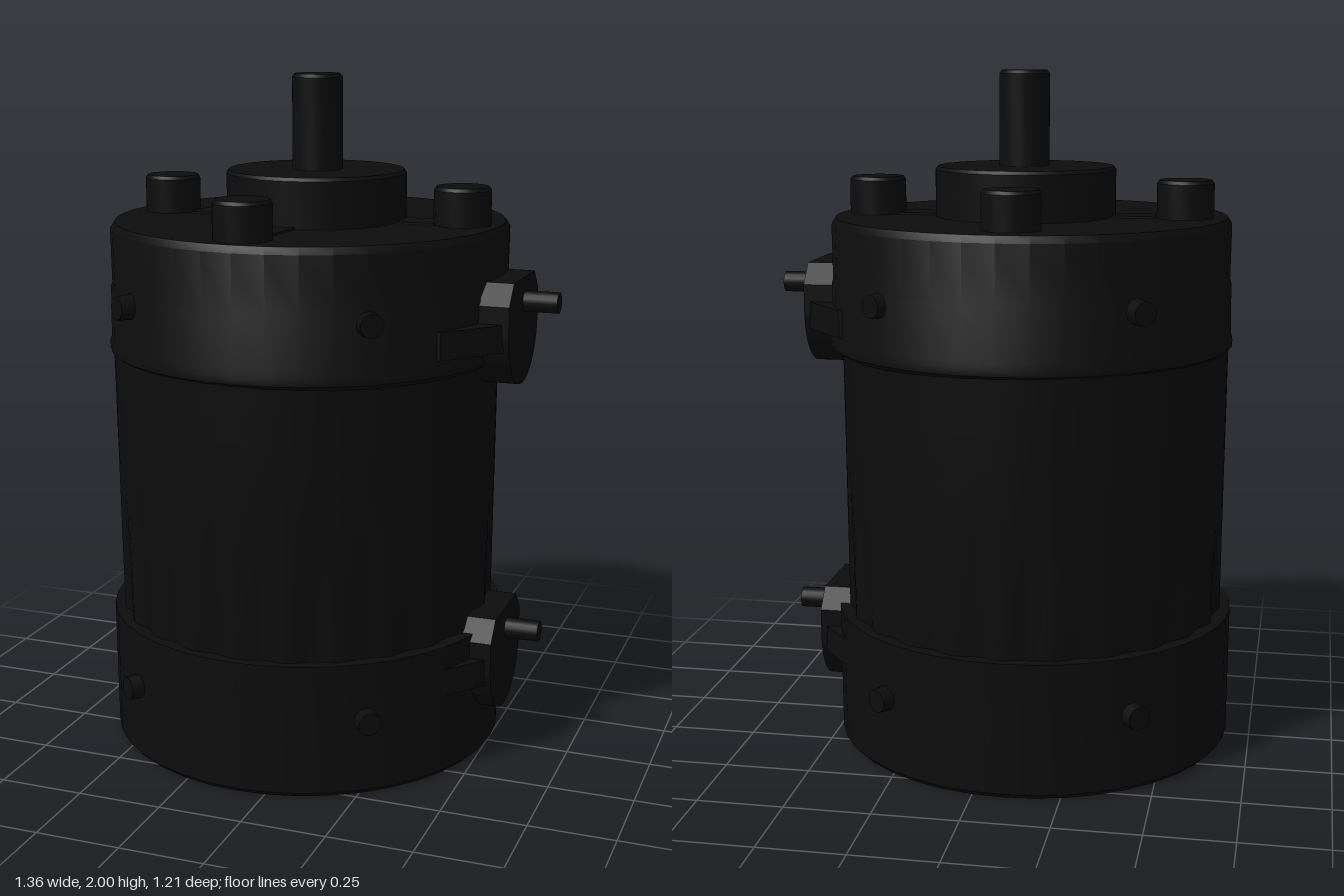
import * as THREE from 'three';
import { toCreasedNormals } from 'three/addons/utils/BufferGeometryUtils.js';

export function createModel() {
  const group = new THREE.Group();
  const black = new THREE.MeshStandardMaterial({ color: 0x0d0d0d });
  black.name = 'black metal';

  const add = (name, geo, x = 0, y = 0, z = 0) => {
    const mesh = new THREE.Mesh(geo, black);
    mesh.name = name;
    mesh.position.set(x, y, z);
    group.add(mesh);
    return mesh;
  };
  const lathe = (profile, segments = 40) => toCreasedNormals(
    new THREE.LatheGeometry(profile.map(([r, y]) => new THREE.Vector2(r, y)), segments), 0.6);

  // Lower end housing
  add('baseHousing', lathe([[0, 0], [0.58, 0], [0.594, 0.015], [0.597, 0.4], [0, 0.4]]), -0.085);

  // Barrel: smooth at the top, shallow flutes growing deeper toward the base
  const barrel = new THREE.CylinderGeometry(0.572, 0.572, 0.82, 120, 10, true);
  const p = barrel.attributes.position;
  for (let i = 0; i < p.count; i++) {
    const t = (0.41 - p.getY(i)) / 0.82;
    const a = Math.atan2(p.getZ(i), p.getX(i));
    const flute = Math.max(0, t - 0.35) * 0.022 * (1 - Math.cos(a * 24));
    const k = 1 - flute;
    p.setX(i, p.getX(i) * k * (1 - 0.01 * t));
    p.setZ(i, p.getZ(i) * k * (1.04 - 0.042 * t));
  }
  barrel.computeVertexNormals();
  add('barrel', barrel, -0.085, 0.79);

  // Upper end housing with a flared lower lip and a shallow band
  const cap = add('topHousing', lathe([
    [0, 1.19], [0.575, 1.19], [0.596, 1.205], [0.597, 1.225], [0.592, 1.24],
    [0.59, 1.39], [0.586, 1.4], [0.588, 1.56], [0.575, 1.58], [0, 1.58]]), -0.072);
  cap.scale.z = 1.017;

  // Hub and output shaft
  add('hub', lathe([[0, 1.56], [0.265, 1.56], [0.265, 1.715], [0.258, 1.725], [0, 1.725]]), -0.055, 0, -0.005);
  add('shaft', lathe([[0, 1.7], [0.074, 1.7], [0.074, 1.99], [0.066, 2], [0, 2]], 24), -0.05);

  // Mounting bolts and the low webs that join them to the hub
  for (const [x, z] of [[-0.525, -0.015], [0.39, -0.01], [-0.088, -0.44], [-0.088, 0.478]]) {
    add('topBolt', lathe([[0, 1.55], [0.083, 1.55], [0.083, 1.68], [0.076, 1.69], [0, 1.69]], 20), x, 0, z);
    const web = add('boltWeb', new THREE.BoxGeometry(0.3, 0.02, 0.1),
      (x - 0.055) / 2, 1.576, z / 2);
    web.rotation.y = -Math.atan2(z, x + 0.055);
  }

  // Small screws around both housings
  for (const y of [0.23, 1.37]) {
    for (const sx of [-1, 1]) for (const sz of [-1, 1]) {
      const holder = new THREE.Group();
      holder.name = 'sideScrew';
      holder.position.set(-0.085 + sx * 0.36, y, sz * 0.48);
      holder.rotation.y = Math.atan2(sx * 0.36, sz * 0.48);
      const head = new THREE.Mesh(new THREE.CylinderGeometry(0.034, 0.038, 0.06, 12), black);
      head.name = 'screwHead';
      head.rotation.x = Math.PI / 2;
      holder.add(head);
      group.add(holder);
    }
  }

  // Terminal blocks: a rounded face, tapered shoulders and a pin
  const face = new THREE.Shape();
  face.moveTo(-0.12, 0.16);
  face.lineTo(-0.17, 0.1);
  face.lineTo(-0.17, 0.02);
  face.absarc(0, 0.02, 0.17, Math.PI, Math.PI * 2, false);
  face.lineTo(0.17, 0.1);
  face.lineTo(0.12, 0.16);
  face.closePath();
  const faceGeo = new THREE.ExtrudeGeometry(face, { depth: 0.2, bevelEnabled: false, curveSegments: 20 });
  faceGeo.rotateY(Math.PI / 2).translate(0.38, 0, 0);

  const plan = new THREE.Shape([[0.3, -0.33], [0.43, -0.33], [0.54, -0.2], [0.575, -0.15],
    [0.575, 0.15], [0.54, 0.2], [0.43, 0.33], [0.3, 0.33]].map(([x, y]) => new THREE.Vector2(x, y)));
  const planGeo = new THREE.ExtrudeGeometry(plan, { depth: 0.08, bevelEnabled: false });
  planGeo.rotateX(-Math.PI / 2).translate(0, -0.03, 0);

  const pinGeo = new THREE.CylinderGeometry(0.031, 0.031, 0.14, 16);
  pinGeo.rotateZ(-Math.PI / 2);

  for (const [dx, y] of [[0, 1.28], [-0.03, 0.28]]) {
    add('terminalBlock', faceGeo, dx, y);
    add('terminalShoulders', planGeo, dx, y);
    add('terminalPin', pinGeo, 0.61 + dx, y + 0.088, -0.015);
  }

  return group;
}
